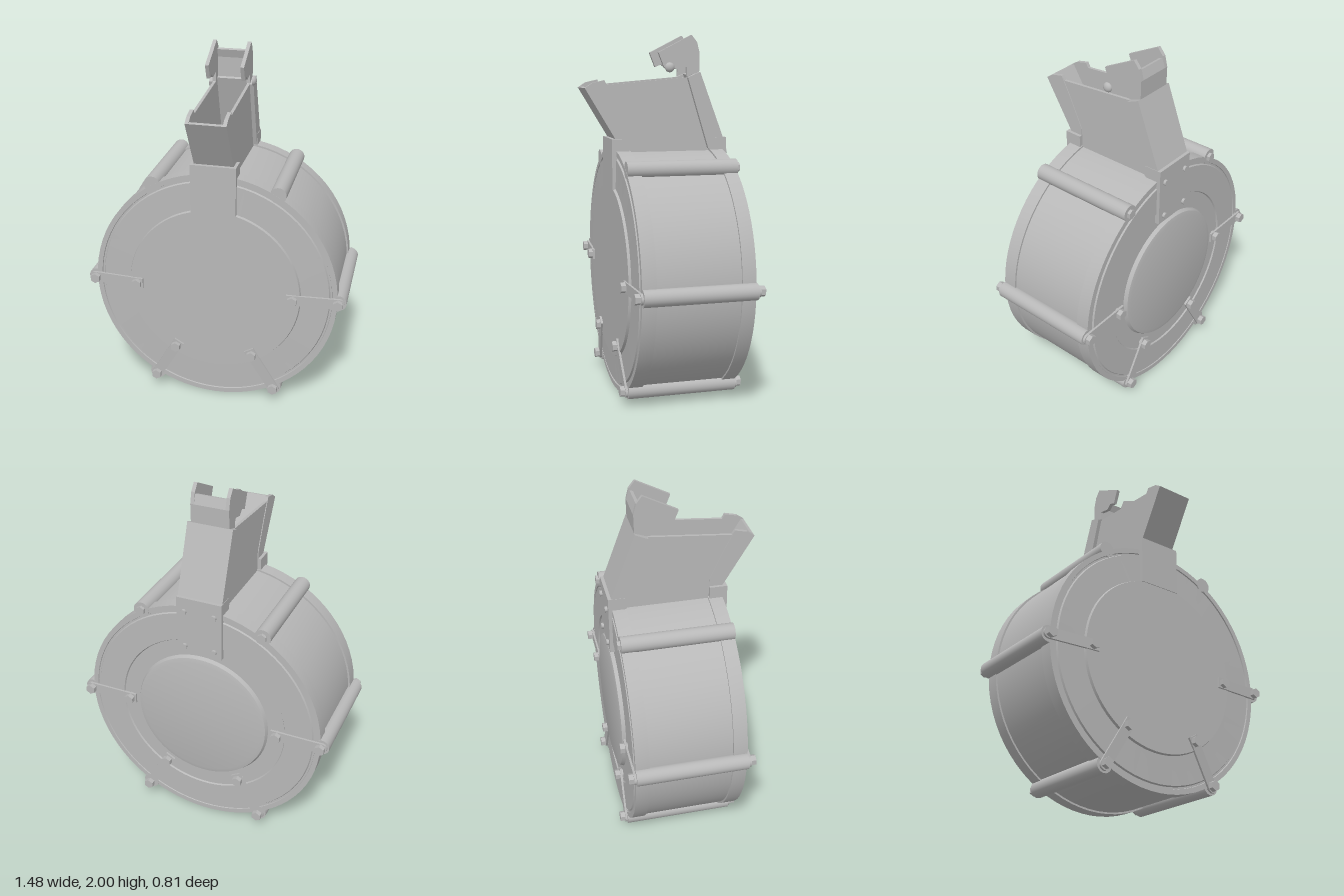
import * as THREE from 'three';
import { toCreasedNormals } from 'three/addons/utils/BufferGeometryUtils.js';

const CY = 0.695; // height of the drum axis

export function createModel() {
  const root = new THREE.Group();
  root.name = 'drumContainer';
  const grey = new THREE.MeshStandardMaterial({ color: 0xb8b8b8 });
  grey.name = 'plain grey';

  const add = (name, geo, parent = root) => {
    const m = new THREE.Mesh(geo, grey);
    m.name = name;
    parent.add(m);
    return m;
  };
  const box = (name, x0, x1, y0, y1, z0, z1) => {
    const g = new THREE.BoxGeometry(x1 - x0, y1 - y0, z1 - z0);
    g.translate((x0 + x1) / 2, (y0 + y1) / 2, (z0 + z1) / 2);
    return add(name, g);
  };
  // Side outline given as [z, y] points, extruded from x0 to x1
  const slab = (name, pts, x0, x1) => {
    const shape = new THREE.Shape(pts.map(p => new THREE.Vector2(p[0], p[1])));
    const g = new THREE.ExtrudeGeometry(shape, { depth: x1 - x0, bevelEnabled: false });
    g.rotateY(-Math.PI / 2);
    g.translate(x1, 0, 0);
    return add(name, g);
  };
  // Cylinder along z between two depths
  const rod = (name, x, y, z0, z1, r, sides, parent = root) => {
    let g = new THREE.CylinderGeometry(r, r, z1 - z0, sides);
    g.rotateX(Math.PI / 2);
    g.translate(x, y, (z0 + z1) / 2);
    return add(name, toCreasedNormals(g, 0.6), parent);
  };

  // Drum: turned profile as [radius, z], from back centre to front centre
  const profile = [
    [0, -0.388], [0.355, -0.388], [0.38, -0.382], [0.39, -0.362], [0.485, -0.362],
    [0.49, -0.37], [0.645, -0.37], [0.65, -0.362], [0.66, -0.362], [0.662, -0.367],
    [0.69, -0.367], [0.69, -0.292], [0.68, -0.292], [0.68, 0.16], [0.69, 0.16],
    [0.69, 0.237], [0.662, 0.237], [0.66, 0.23], [0.65, 0.23], [0.645, 0.24],
    [0.49, 0.244], [0.485, 0.258], [0, 0.258],
  ].map(p => new THREE.Vector2(p[0], p[1]));
  let drum = new THREE.LatheGeometry(profile, 72);
  drum.rotateX(Math.PI / 2);
  drum.translate(0, CY, 0);
  add('drumBody', toCreasedNormals(drum, 0.5));

  // Six tie rods around the drum
  for (let i = 0; i < 6; i++) {
    const a = (i * Math.PI) / 3;
    const x = 0.695 * Math.cos(a), y = CY + 0.695 * Math.sin(a);
    rod('tieRod', x, y, -0.368, 0.236, 0.045, 24);
    if (i === 1 || i === 2) rod('rodEndBolt', x, y, -0.385, -0.36, 0.026, 6);
  }

  // Radial straps with hex bolts, front and back, on the four lower rods
  const strapShape = new THREE.Shape();
  strapShape.moveTo(0.41, -0.03);
  strapShape.lineTo(0.70, -0.03);
  strapShape.absarc(0.70, 0, 0.03, -Math.PI / 2, Math.PI / 2, false);
  strapShape.lineTo(0.41, 0.03);
  strapShape.closePath();
  for (const a of [0, Math.PI, -Math.PI / 3, (-2 * Math.PI) / 3]) {
    for (const front of [true, false]) {
      const arm = new THREE.Group();
      arm.name = front ? 'frontStrap' : 'backStrap';
      arm.position.y = CY;
      arm.rotation.z = a;
      root.add(arm);
      const g = new THREE.ExtrudeGeometry(strapShape, { depth: 0.012, bevelEnabled: false, curveSegments: 8 });
      if (front) {
        // Tilt so the inner end lies over the raised centre disc
        const p = g.attributes.position;
        for (let i = 0; i < p.count; i++) p.setZ(i, p.getZ(i) + 0.237 + (0.74 - p.getX(i)) * 0.065);
        g.computeVertexNormals();
      } else {
        g.translate(0, 0, -0.381);
      }
      add('strap', g, arm);
      if (front) {
        rod('outerBolt', 0.695, 0, 0.235, 0.278, 0.029, 6, arm);
        rod('innerBolt', 0.445, 0, 0.25, 0.293, 0.029, 6, arm);
      } else {
        rod('outerBolt', 0.695, 0, -0.408, -0.36, 0.029, 6, arm);
        rod('innerBolt', 0.445, 0, -0.408, -0.36, 0.029, 6, arm);
      }
    }
  }

  // Front and back neck plates clamping the tower
  box('frontNeckPlate', -0.125, 0.125, 1.165, 1.44, 0.165, 0.262);
  box('backNeckPlate', -0.128, 0.128, 1.11, 1.44, -0.388, -0.292);
  for (const x of [-0.085, 0.085])
    for (const y of [1.15, 1.36]) rod('plateRivet', x, y, -0.402, -0.38, 0.016, 12);

  // Tower: side walls, front ramp, wide spine and inner floor
  const wall = [
    [0.165, 1.33], [0.165, 1.44], [0.24, 1.44], [0.405, 1.715], [0.365, 1.742], [0.298, 1.757],
    [0.283, 1.732], [-0.165, 1.77], [-0.235, 1.80], [-0.37, 1.44], [-0.33, 1.33],
  ];
  const frontRib = [
    [0.165, 1.44], [0.24, 1.44], [0.405, 1.715], [0.365, 1.742], [0.298, 1.757], [0.245, 1.655], [0.165, 1.48],
  ];
  const spineSide = [[-0.165, 1.77], [-0.235, 1.80], [-0.37, 1.44], [-0.335, 1.36], [-0.285, 1.38]];
  // Raised head with hooked front
  const head = [
    [-0.003, 1.905], [-0.19, 2.0], [-0.222, 1.96], [-0.237, 1.90], [-0.235, 1.80],
    [-0.165, 1.775], [-0.165, 1.828], [-0.10, 1.815], [-0.07, 1.84], [-0.035, 1.825],
  ];
  for (const s of [-1, 1]) {
    const pair = (name, pts, a, b) => slab(name, pts, s > 0 ? a : -b, s > 0 ? b : -a);
    pair('sideWall', wall, 0.088, 0.104);
    pair('frontRib', frontRib, 0.10, 0.108);
    pair('spineSide', spineSide, 0.10, 0.126);
    pair('headCheek', head, 0.086, 0.106);
  }
  slab('frontRamp', [[0.24, 1.44], [0.405, 1.715], [0.388, 1.72], [0.215, 1.44]], -0.1, 0.1);
  slab('spineBack', [[-0.235, 1.80], [-0.37, 1.44], [-0.335, 1.36], [-0.31, 1.43], [-0.20, 1.785]], -0.126, 0.126);
  slab('headBack', [[-0.218, 1.95], [-0.237, 1.90], [-0.235, 1.79], [-0.215, 1.79], [-0.215, 1.90], [-0.2, 1.945]], -0.1, 0.1);
  box('towerFloor', -0.09, 0.09, 1.33, 1.45, -0.32, 0.22);

  // Small domed button beside the head
  const dome = new THREE.SphereGeometry(0.027, 20, 10, 0, Math.PI * 2, 0, Math.PI / 2);
  dome.scale(1, 0.75, 1);
  dome.rotateZ(-Math.PI / 2);
  dome.translate(0.145, 1.825, -0.055);
  add('button', dome);
  const cap = new THREE.CircleGeometry(0.027, 20);
  cap.rotateY(-Math.PI / 2);
  cap.translate(0.145, 1.825, -0.055);
  add('buttonBase', cap);

  return root;
}
